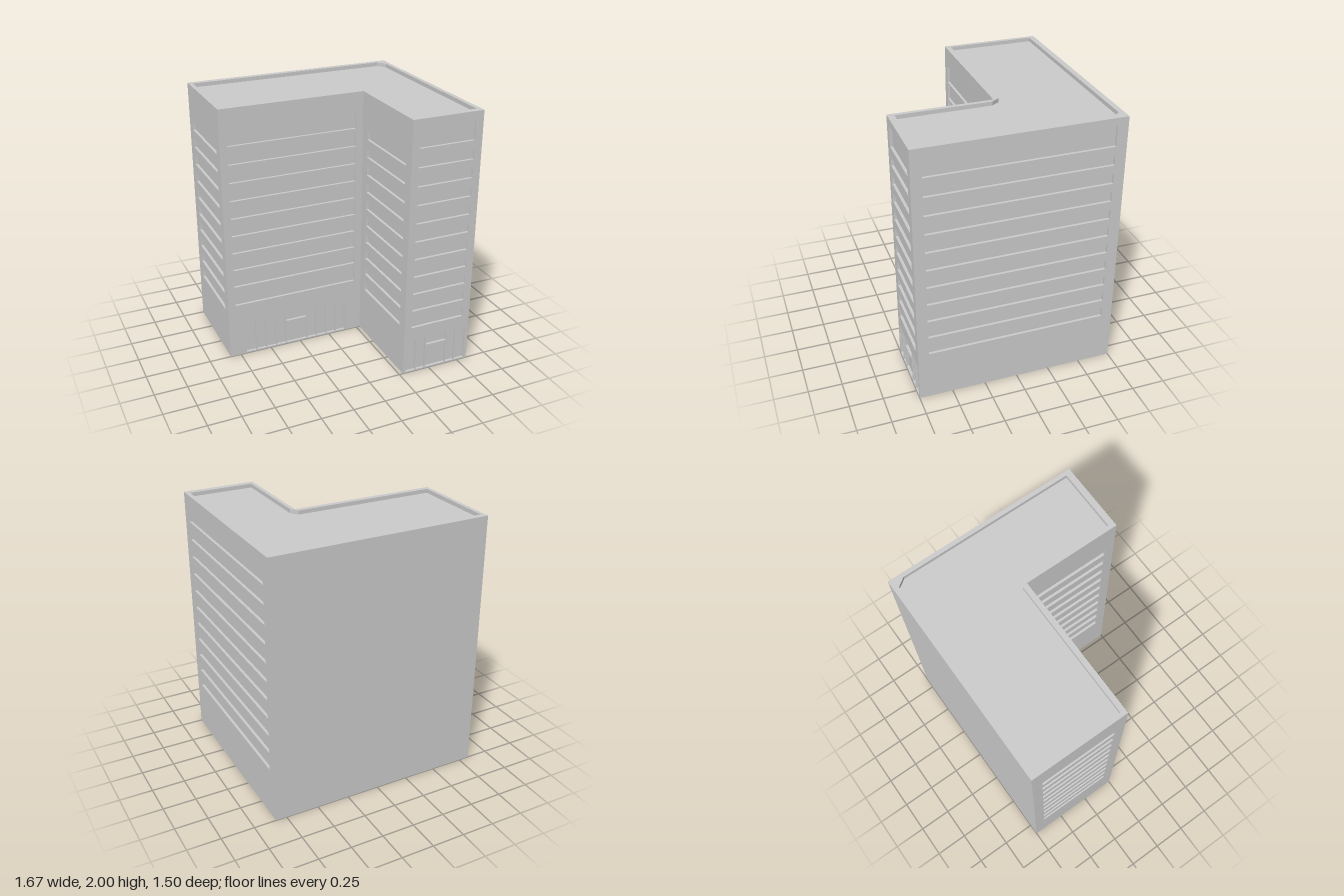
import * as THREE from 'three';
import { mergeGeometries } from 'three/addons/utils/BufferGeometryUtils.js';

const material = new THREE.MeshStandardMaterial({ color: 0xcccccc, side: THREE.DoubleSide, flatShading: true });
const X = 0.833, Z = 0.75, H = 2, IN_X = 0.28, IN_Z = 0;   // half sizes, height, inner corner of the L
const DEPTH = 0.02, ROOF_Y = 1.97;

const mesh = (name, geometry) => {
  const m = new THREE.Mesh(geometry, material);
  m.name = name;
  return m;
};

// Opening in a wall: left, right, bottom, top
const rectPath = ([l, r, b, t]) => new THREE.Path(
  [[l, b], [l, t], [r, t], [r, b], [l, b]].map(p => new THREE.Vector2(...p)));

// Shallow box without its front face
function recess([l, r, b, t]) {
  const g = new THREE.BoxGeometry(r - l, t - b, DEPTH);
  const idx = Array.from(g.index.array);
  idx.splice(24, 6);
  g.setIndex(idx);
  return g.translate((l + r) / 2, (b + t) / 2, -DEPTH / 2);
}

function bar(l, r, b, t) {
  return new THREE.BoxGeometry(r - l, t - b, DEPTH).translate((l + r) / 2, (b + t) / 2, -DEPTH / 2);
}

// Wall facing local +z, spanning u0..u1, with recessed openings
function facade(name, u0, u1, openings, entrance) {
  const group = new THREE.Group();
  group.name = name;
  const shape = new THREE.Shape(
    [[u0, 0], [u1, 0], [u1, H], [u0, H]].map(p => new THREE.Vector2(...p)));
  const all = entrance ? [...openings, entrance.rect] : openings;
  shape.holes = all.map(rectPath);
  group.add(mesh('wall', new THREE.ShapeGeometry(shape)));
  if (openings.length) group.add(mesh('windowBands', mergeGeometries(openings.map(recess))));
  if (entrance) {
    const [, , b, t] = entrance.rect, w = 0.004;
    group.add(mesh('entranceGlass', recess(entrance.rect)));
    const bars = entrance.mullions.map(u => bar(u - w, u + w, b, t));
    bars.push(bar(entrance.door[0], entrance.door[1], 0.2, 0.208));
    group.add(mesh('entranceFrames', mergeGeometries(bars)));
  }
  return group;
}

// Narrow window bands, one per storey
function bands(l, r, tall) {
  const list = [];
  for (let k = 0; k < 10; k++) list.push([l, r, 0.385 + 0.1405 * k, 0.457 + 0.1405 * k]);
  if (tall) list.push([l, r, 1.79, 1.94]);
  return list;
}

// Wide bands of the long front wall; the first and last are taller
function wideBands(l, r) {
  const list = [];
  for (let k = 0; k < 10; k++) {
    list.push([l, r, k === 0 ? 0.44 : 0.458 + 0.1403 * k, k === 9 ? 1.86 : 0.584 + 0.1403 * k]);
  }
  return list;
}

export function createModel() {
  const model = new THREE.Group();
  model.name = 'officeBuilding';
  const place = (part, x, z, turn) => {
    part.position.set(x, 0, z);
    part.rotation.y = turn;
    model.add(part);
  };

  // Front walls with their entrances
  place(facade('longWingFront', -X, IN_X, wideBands(-0.777, 0.223), {
    rect: [-0.7, 0.143, 0.01, 0.28],
    mullions: [-0.615, -0.532, -0.45, -0.366, -0.188, -0.105, -0.022, 0.061],
    door: [-0.366, -0.188],
  }), 0, IN_Z, 0);
  place(facade('shortWingFront', IN_X, X, bands(0.338, 0.775, true), {
    rect: [0.3, 0.81, 0.01, 0.28],
    mullions: [0.385, 0.466, 0.645, 0.725],
    door: [0.466, 0.645],
  }), 0, Z, 0);

  // Side, inner and back walls
  place(facade('leftSide', -Z, Z, bands(-0.67, 0.67, true)), X, 0, Math.PI / 2);
  place(facade('rightSide', -Z, IN_Z, bands(-0.67, -0.08)), -X, 0, -Math.PI / 2);
  place(facade('innerSide', IN_Z, Z, bands(0.08, 0.67)), IN_X, 0, -Math.PI / 2);
  place(facade('back', -X, X, []), 0, -Z, Math.PI);

  // Parapet ring and sunken roof, drawn in plan with shape y = -z
  const plan = pts => pts.map(([x, z]) => new THREE.Vector2(x, -z));
  const outer = plan([[-X, -Z], [X, -Z], [X, Z], [IN_X, Z], [IN_X, IN_Z], [-X, IN_Z]]);
  const inner = plan([[-0.803, -0.705], [0.755, -0.71], [0.8, -0.645], [0.8, 0.703],
    [0.31, 0.703], [0.31, 0.018], [0.27, -0.04], [-0.803, -0.04]]);
  const ring = new THREE.Shape(outer);
  ring.holes.push(new THREE.Path(inner));
  const parapet = mesh('parapet', new THREE.ExtrudeGeometry(ring, { depth: H - ROOF_Y, bevelEnabled: false }));
  const roof = mesh('roof', new THREE.ShapeGeometry(new THREE.Shape(inner)));
  for (const part of [parapet, roof]) {
    part.rotation.x = -Math.PI / 2;
    part.position.y = ROOF_Y;
    model.add(part);
  }
  return model;
}
